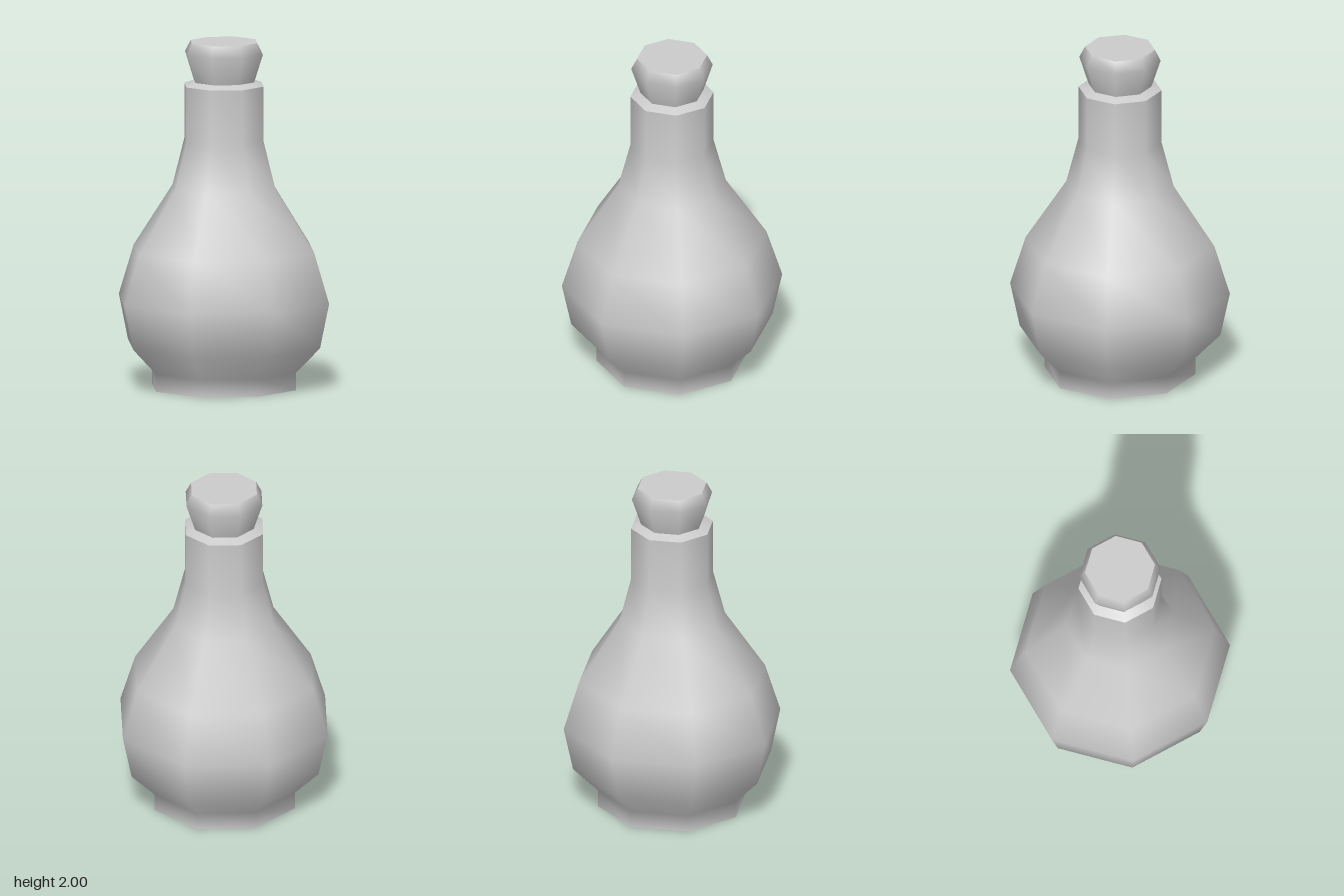
import * as THREE from 'three';

const SIDES = 8;
const material = new THREE.MeshStandardMaterial({ color: 0xcccccc });

// Smooth eight-sided surface turned from [radius, height] pairs, listed bottom to top
function turned(name, profile) {
  const points = profile.map(([r, y]) => new THREE.Vector2(r, y));
  const mesh = new THREE.Mesh(new THREE.LatheGeometry(points, SIDES), material);
  mesh.name = name;
  return mesh;
}

// Flat eight-sided disc facing up (1) or down (-1), with corners on the axes
function disc(name, radius, y, facing) {
  const geometry = new THREE.CircleGeometry(radius, SIDES).rotateX(-facing * Math.PI / 2);
  const mesh = new THREE.Mesh(geometry, material);
  mesh.position.y = y;
  mesh.name = name;
  return mesh;
}

export function createModel() {
  const model = new THREE.Group();
  model.name = 'stopperedBottle';

  // Bottle: foot, rounded belly, shoulder and straight neck
  const bottle = new THREE.Group();
  bottle.name = 'bottle';
  bottle.add(
    turned('body', [
      [0.435, 0], [0.435, 0.10], [0.58, 0.25], [0.635, 0.51],
      [0.545, 0.80], [0.31, 1.16], [0.24, 1.43], [0.24, 1.75],
    ]),
    // Gently sloping lip that meets the stopper
    turned('lip', [[0.24, 1.75], [0.182, 1.772]]),
    disc('bottom', 0.435, 0, -1),
  );

  // Stopper: flares out, then tapers to a flat top
  const stopper = new THREE.Group();
  stopper.name = 'stopper';
  stopper.add(
    turned('stopperSide', [[0.182, 1.772], [0.235, 1.935], [0.202, 2]]),
    disc('stopperTop', 0.202, 2, 1),
  );

  model.add(bottle, stopper);
  return model;
}
